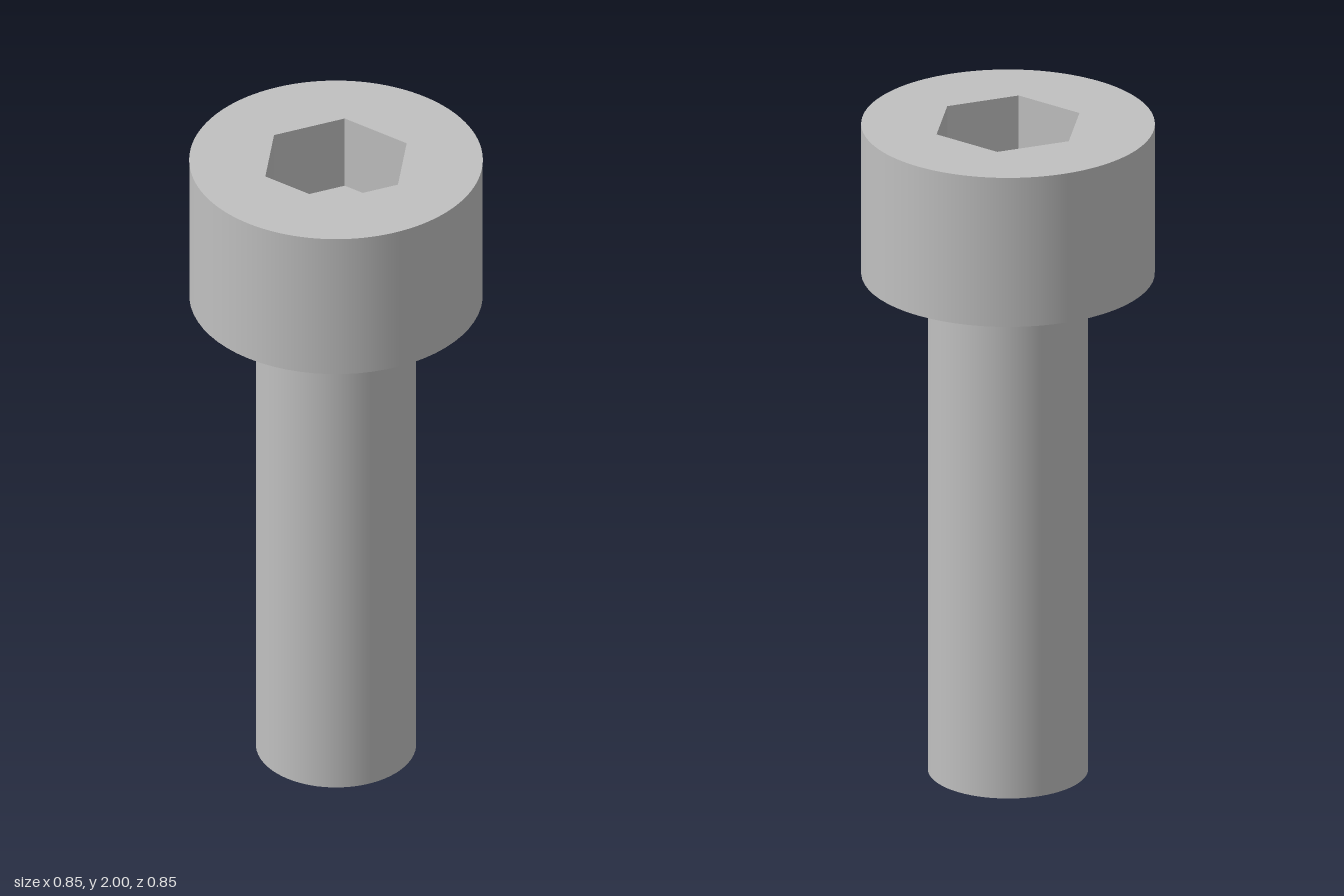
import * as THREE from 'three';

const SEGMENTS = 64;
const TOP = 2;
const HEAD_BASE = 1.538;
const HEAD_R = 0.423;
const SHAFT_R = 0.231;
const HEX_R = 0.222; // socket corner radius, corners on the z axis
const SOCKET_DEPTH = 0.23;

export function createModel() {
  const steel = new THREE.MeshStandardMaterial({ color: 0xc0c0c0 });
  steel.name = 'steel';

  const screw = new THREE.Group();
  screw.name = 'socketScrew';
  const head = new THREE.Group();
  head.name = 'head';
  const shaft = new THREE.Group();
  shaft.name = 'shaft';
  screw.add(head, shaft);

  function add(parent, name, geometry, y) {
    const mesh = new THREE.Mesh(geometry, steel);
    mesh.name = name;
    mesh.position.y = y;
    parent.add(mesh);
  }

  // open cylinder wall standing on y = 0
  const wall = (r, h, sides) =>
    new THREE.CylinderGeometry(r, r, h, sides, 1, true).translate(0, h / 2, 0);

  // shaft wall and flat tip
  add(shaft, 'shaftWall', wall(SHAFT_R, HEAD_BASE, SEGMENTS), 0);
  add(shaft, 'shaftTip', new THREE.CircleGeometry(SHAFT_R, SEGMENTS).rotateX(Math.PI / 2), 0);

  // head wall and underside
  add(head, 'headWall', wall(HEAD_R, TOP - HEAD_BASE, SEGMENTS), HEAD_BASE);
  add(head, 'headUnderside',
    new THREE.RingGeometry(SHAFT_R, HEAD_R, SEGMENTS).rotateX(Math.PI / 2), HEAD_BASE);

  // top face with the hexagonal opening
  const face = new THREE.Shape().absarc(0, 0, HEAD_R, 0, Math.PI * 2);
  const corners = Array.from({ length: 6 }, (_, i) => {
    const a = Math.PI / 2 + (i * Math.PI) / 3;
    return new THREE.Vector2(HEX_R * Math.cos(a), HEX_R * Math.sin(a));
  });
  face.holes.push(new THREE.Path(corners));
  add(head, 'headTop', new THREE.ShapeGeometry(face, SEGMENTS).rotateX(-Math.PI / 2), TOP);

  // socket walls, mirrored so that they face inward, with flat normals
  const socket = wall(HEX_R, SOCKET_DEPTH, 6).scale(-1, 1, 1).toNonIndexed();
  socket.computeVertexNormals();
  add(head, 'socketWalls', socket, TOP - SOCKET_DEPTH);
  add(head, 'socketFloor',
    new THREE.CircleGeometry(HEX_R, 6, Math.PI / 2).rotateX(-Math.PI / 2), TOP - SOCKET_DEPTH);

  return screw;
}
